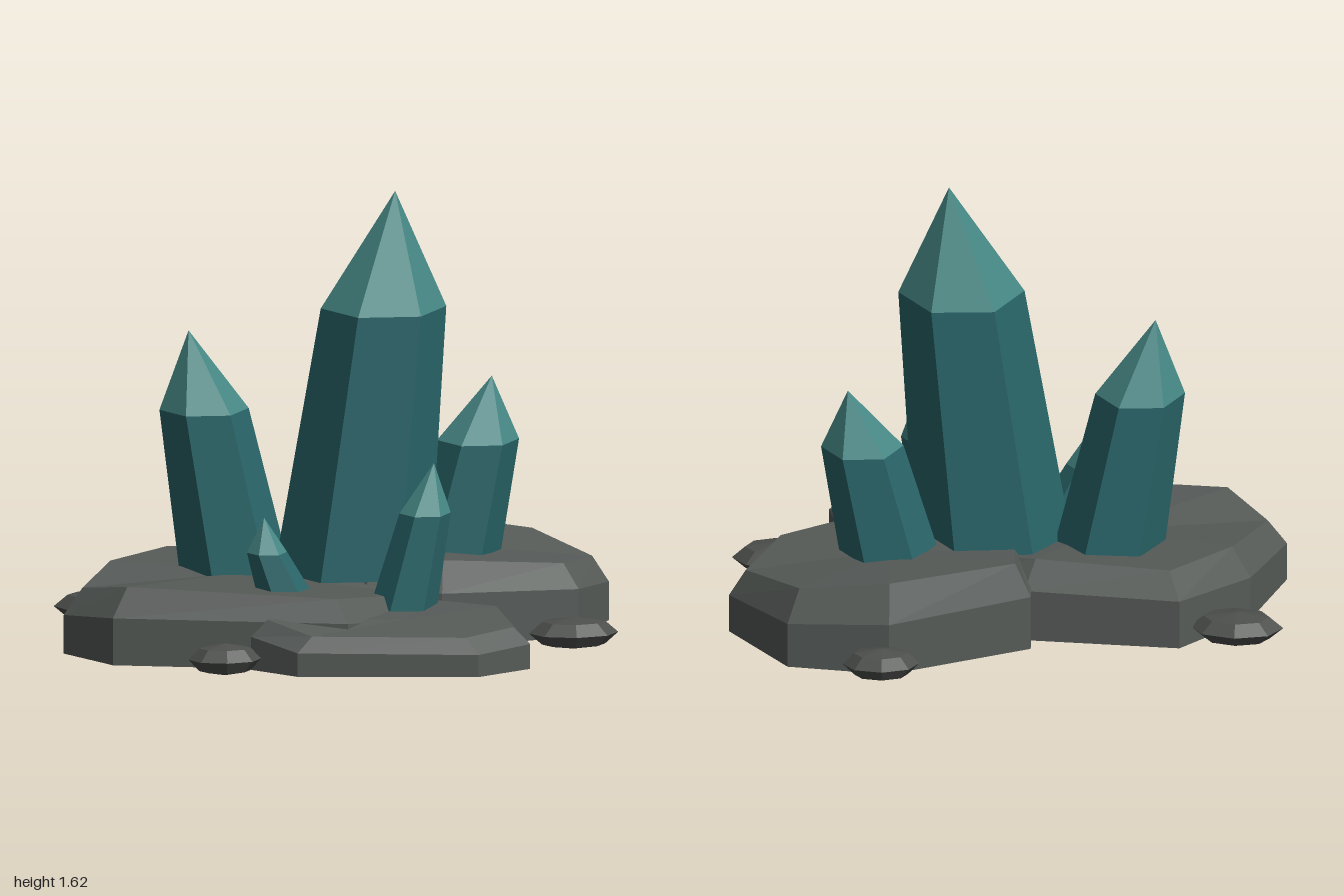
import * as THREE from 'three';

const rockMat = new THREE.MeshStandardMaterial({ color: 0x565b58, flatShading: true });
const pebbleMat = new THREE.MeshStandardMaterial({ color: 0x4c4f4c, flatShading: true });
const crystalMat = new THREE.MeshStandardMaterial({ color: 0x2a666a, flatShading: true });
const tipMat = new THREE.MeshStandardMaterial({ color: 0x468885, flatShading: true });

const centroid = (ring) =>
  ring.reduce((s, p) => s.add(p), new THREE.Vector3()).divideScalar(ring.length);

// Faceted solid through stacked rings (anticlockwise from above), closed by fans
function loft(rings, apex = centroid(rings[rings.length - 1])) {
  const pts = [];
  const n = rings[0].length;
  const last = rings[rings.length - 1];
  const foot = centroid(rings[0]);
  for (let i = 0; i < n; i++) {
    const j = (i + 1) % n;
    for (let k = 0; k + 1 < rings.length; k++) {
      const a = rings[k], b = rings[k + 1];
      pts.push(a[i], a[j], b[j], a[i], b[j], b[i]);
    }
    pts.push(last[i], last[j], apex, rings[0][j], rings[0][i], foot);
  }
  const geo = new THREE.BufferGeometry().setFromPoints(pts);
  geo.computeVertexNormals();
  return geo;
}

function add(parent, name, geo, mat) {
  const mesh = new THREE.Mesh(geo, mat);
  mesh.name = name;
  parent.add(mesh);
  return mesh;
}

// Slab outline corners: [x, z, wall height, rim height], with a bevelled rim
function slab(parent, name, corners, inset) {
  const bottom = corners.map(([x, z]) => new THREE.Vector3(x, 0, z));
  const wall = corners.map(([x, z, h]) => new THREE.Vector3(x, h, z));
  const c = centroid(bottom);
  const rim = corners.map(([x, z, , h], i) => {
    const p = bottom[i].clone().add(c.clone().sub(bottom[i]).setLength(inset));
    return p.setY(h);
  });
  add(parent, name, loft([bottom, wall, rim]), rockMat);
}

// Six-sided ring with corners on the x axis
function hexRing([x, y, z], r) {
  return Array.from({ length: 6 }, (_, i) => {
    const a = (i * Math.PI) / 3;
    return new THREE.Vector3(x + r * Math.cos(a), y, z - r * Math.sin(a));
  });
}

// Leaning crystal: tapering shaft plus pointed tip
function crystal(parent, name, base, baseR, shoulder, shoulderR, tip) {
  const group = new THREE.Group();
  group.name = name;
  const top = hexRing(shoulder, shoulderR);
  add(group, 'shaft', loft([hexRing(base, baseR), top]), crystalMat);
  add(group, 'tip', loft([top], new THREE.Vector3(...tip)), tipMat);
  parent.add(group);
}

export function createModel() {
  const model = new THREE.Group();
  model.name = 'crystalCluster';

  // Three overlapping rock slabs
  slab(model, 'leftSlab', [
    [-0.85, 0.41, 0.17, 0.275], [-0.03, 0.61, 0.17, 0.25], [0.33, 0.25, 0.12, 0.2],
    [0.3, -0.15, 0.15, 0.25], [-0.05, -0.36, 0.19, 0.29], [-0.6, -0.45, 0.18, 0.275],
    [-0.86, -0.19, 0.16, 0.27], [-1.0, 0.17, 0.14, 0.235],
  ], 0.07);
  slab(model, 'rightSlab', [
    [0.35, 0.23, 0.2, 0.31], [0.86, 0.04, 0.17, 0.26], [1.0, -0.25, 0.14, 0.235],
    [0.8, -0.58, 0.165, 0.285], [0.44, -0.66, 0.19, 0.325], [-0.07, -0.44, 0.2, 0.32],
    [-0.08, -0.25, 0.2, 0.3], [0.08, 0.15, 0.2, 0.3],
  ], 0.06);
  slab(model, 'frontSlab', [
    [-0.37, 0.55, 0.12, 0.18], [-0.22, 0.7, 0.085, 0.14], [0.42, 0.775, 0.08, 0.135],
    [0.62, 0.64, 0.09, 0.15], [0.58, 0.38, 0.1, 0.185], [0.36, 0.22, 0.12, 0.185],
    [-0.1, 0.35, 0.12, 0.18],
  ], 0.06);

  // Crystals
  crystal(model, 'mainCrystal', [0.053, 0.25, 0], 0.28, [0.165, 1.2, 0], 0.225, [0.21, 1.615, -0.03]);
  crystal(model, 'leftCrystal', [-0.36, 0.24, -0.075], 0.198, [-0.47, 0.83, -0.075], 0.16, [-0.525, 1.115, -0.08]);
  crystal(model, 'rightCrystal', [0.43, 0.28, -0.175], 0.176, [0.523, 0.68, -0.175], 0.147, [0.575, 0.905, -0.2]);
  crystal(model, 'frontRightCrystal', [0.2, 0.16, 0.31], 0.122, [0.28, 0.51, 0.31], 0.092, [0.315, 0.685, 0.28]);
  crystal(model, 'frontLeftCrystal', [-0.225, 0.23, 0.34], 0.1, [-0.29, 0.385, 0.34], 0.072, [-0.3, 0.51, 0.335]);

  // Loose pebbles: x, z, half width, half depth, yaw
  const pebbles = [
    [-0.475, 0.65, 0.13, 0.088, 0], [0.815, 0.285, 0.16, 0.105, 0],
    [0.47, -0.7, 0.137, 0.086, 0], [-0.805, -0.4, 0.167, 0.11, -0.1],
  ];
  for (const [x, z, rx, rz, yaw] of pebbles) {
    const pebble = add(model, 'pebble', new THREE.SphereGeometry(1, 8, 4), pebbleMat);
    pebble.scale.set(rx, 0.058, rz);
    pebble.rotation.y = yaw;
    pebble.position.set(x, 0.06, z);
  }
  return model;
}
